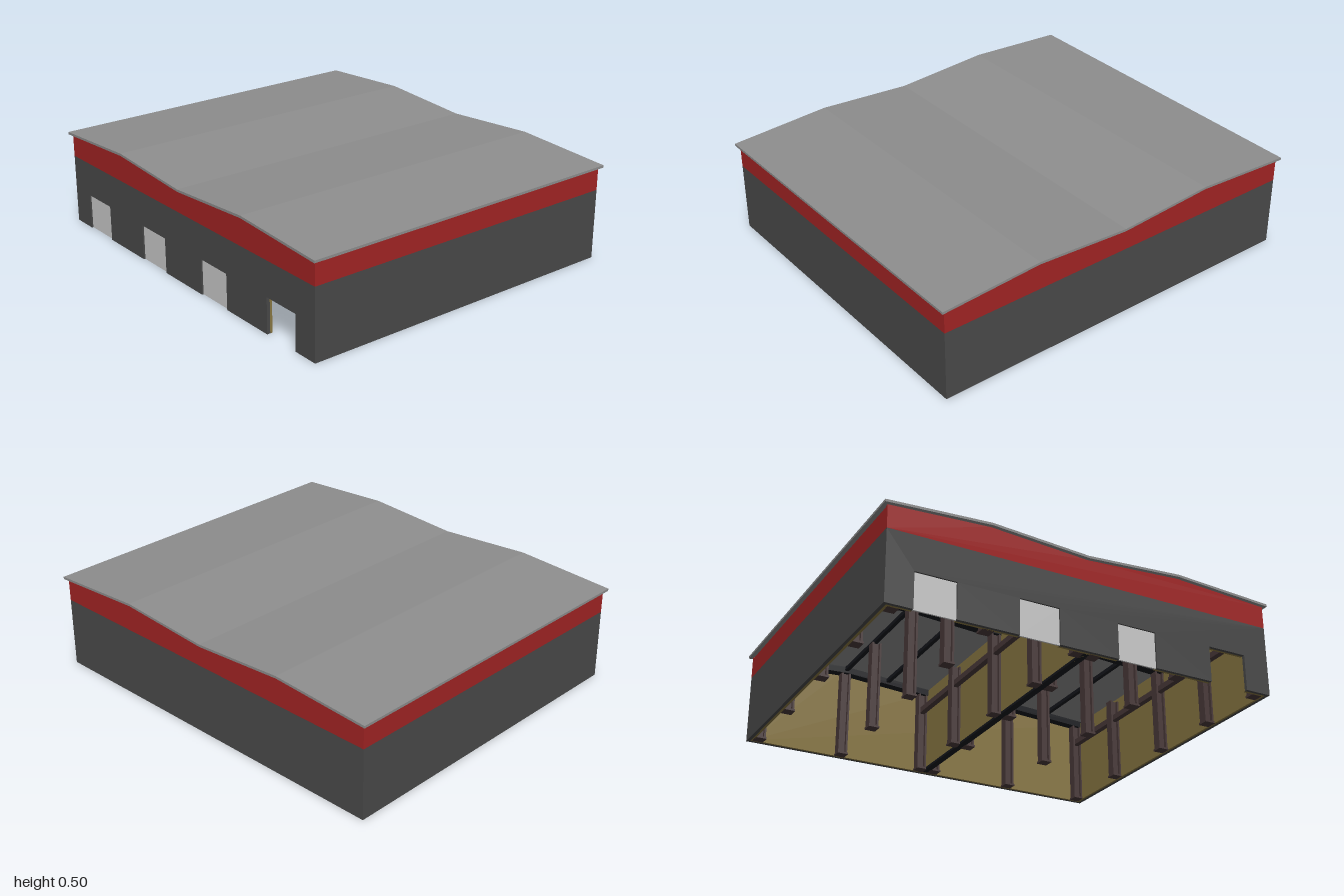
import * as THREE from 'three';

const mat = (color) => new THREE.MeshStandardMaterial({ color, flatShading: true });
const RED = mat(0xa32424), DARK = mat(0x4a4a4a), ROOF = mat(0x8e8e8e), YELLOW = mat(0x8a7843);
const STEEL = mat(0x4a3a3a), BLACK = mat(0x15171c), DOOR = mat(0xcccccc);

const HX = 0.85, HZ = 0.982, BAND = 0.35;
const DOOR_Z = [-0.75, -0.25, 0.25, 0.75], DOOR_W = 0.2, DOOR_H = 0.177;
const COL_X = [-0.8, -0.43, -0.035, 0.4, 0.8];
const COL_Z = [-0.93, -0.49, -0.04, 0.04, 0.49, 0.93];

// Underside height of the double-pitched roof
const roofY = (z) => {
  const a = Math.abs(z);
  return a < 0.49 ? 0.461 + 0.032 * a / 0.49 : 0.493 - 0.029 * (a - 0.49) / 0.51;
};

export function createModel() {
  const group = new THREE.Group();
  const add = (name, geo, material) => {
    const m = new THREE.Mesh(geo, material);
    m.name = name;
    group.add(m);
    return m;
  };
  const box = (name, material, w, h, d, x, y, z) =>
    add(name, new THREE.BoxGeometry(w, h, d), material).position.set(x, y, z);

  // Extrude a (z, y) outline along x, centred on x
  const slab = (name, material, pts, width, x) => {
    const shape = new THREE.Shape(pts.map(([z, y]) => new THREE.Vector2(z, y)));
    const geo = new THREE.ExtrudeGeometry(shape, { depth: width, bevelEnabled: false });
    geo.translate(0, 0, -width / 2).rotateY(-Math.PI / 2).translate(x, 0, 0);
    return add(name, geo, material);
  };

  // Strip following the roof pitch, between two offsets from its underside
  const pitched = (end, low, high) => {
    const zs = [-end, -0.49, 0, 0.49, end];
    return [...zs.map((z) => [z, roofY(z) + low]), ...zs.reverse().map((z) => [z, roofY(z) + high])];
  };

  // Wall outline from base to top, with optional door notches
  const sideOutline = (end, doors, bottom, top) => {
    const pts = [[-end, bottom]];
    if (doors) for (const z of DOOR_Z) {
      const a = z - DOOR_W / 2, b = z + DOOR_W / 2;
      pts.push([a, bottom], [a, DOOR_H], [b, DOOR_H], [b, bottom]);
    }
    pts.push([end, bottom]);
    if (top) pts.push([end, top], [-end, top]);
    else for (const z of [end, 0.49, 0, -0.49, -end]) pts.push([z, roofY(z) - 0.002]);
    return pts;
  };

  // Roof sheet
  slab('roof', ROOF, pitched(1, 0, 0.012), 1.732, 0);

  // Side walls: dark base, red band, inner lining
  for (const s of [-1, 1]) {
    const doors = s < 0;
    slab('sideWall', DARK, sideOutline(HZ, doors, 0, BAND), 0.016, s * (HX - 0.008));
    slab('sideBand', RED, sideOutline(HZ, false, BAND), 0.016, s * (HX - 0.008));
    slab('sideLining', YELLOW, sideOutline(HZ - 0.016, doors, 0), 0.012, s * (HX - 0.022));
  }

  // Front and back walls
  for (const s of [-1, 1]) {
    const w = 2 * (HX - 0.016);
    box('endWall', DARK, w, BAND, 0.016, 0, BAND / 2, s * (HZ - 0.008));
    box('endBand', RED, w, 0.458 - BAND, 0.016, 0, (0.458 + BAND) / 2, s * (HZ - 0.008));
    box('endLining', YELLOW, w - 0.024, 0.458, 0.012, 0, 0.229, s * (HZ - 0.022));
  }

  // Partition between the two halls
  box('partition', YELLOW, 2 * HX - 0.056, 0.457, 0.024, 0, 0.2285, 0);
  box('partitionBase', BLACK, 2 * HX - 0.056, 0.012, 0.034, 0, 0.006, 0);

  // Doors: the one nearest the front stays open
  for (const z of DOOR_Z.slice(0, 3))
    box('door', DOOR, 0.008, DOOR_H, DOOR_W, -HX + 0.012, DOOR_H / 2, z);

  // H-section columns
  const column = (x, z) => {
    const h = roofY(z) - 0.03;
    for (const s of [-1, 1]) box('columnFlange', STEEL, 0.046, h, 0.01, x, h / 2, z + s * 0.02);
    box('columnWeb', STEEL, 0.014, h, 0.032, x, h / 2, z);
    box('columnFoot', STEEL, 0.056, 0.01, 0.056, x, 0.005, z);
  };
  for (const x of COL_X) for (const z of COL_Z) column(x, z);

  // Tie beams along the outer and partition rows
  for (const z of [-0.93, -0.04, 0.04, 0.93])
    box('tieBeam', STEEL, 1.62, 0.03, 0.03, 0, 0.335, z);

  // Rafters following the roof
  for (const x of [-0.8, -0.035, 0.8])
    slab('rafter', BLACK, pitched(0.976, -0.035, -0.001), 0.05, x);

  // Purlins under each ridge and slope
  for (const z of [-0.72, -0.49, -0.25, 0.25, 0.49, 0.72])
    box('purlin', BLACK, 1.64, 0.02, 0.02, 0, roofY(z) - 0.014, z);

  return group;
}
